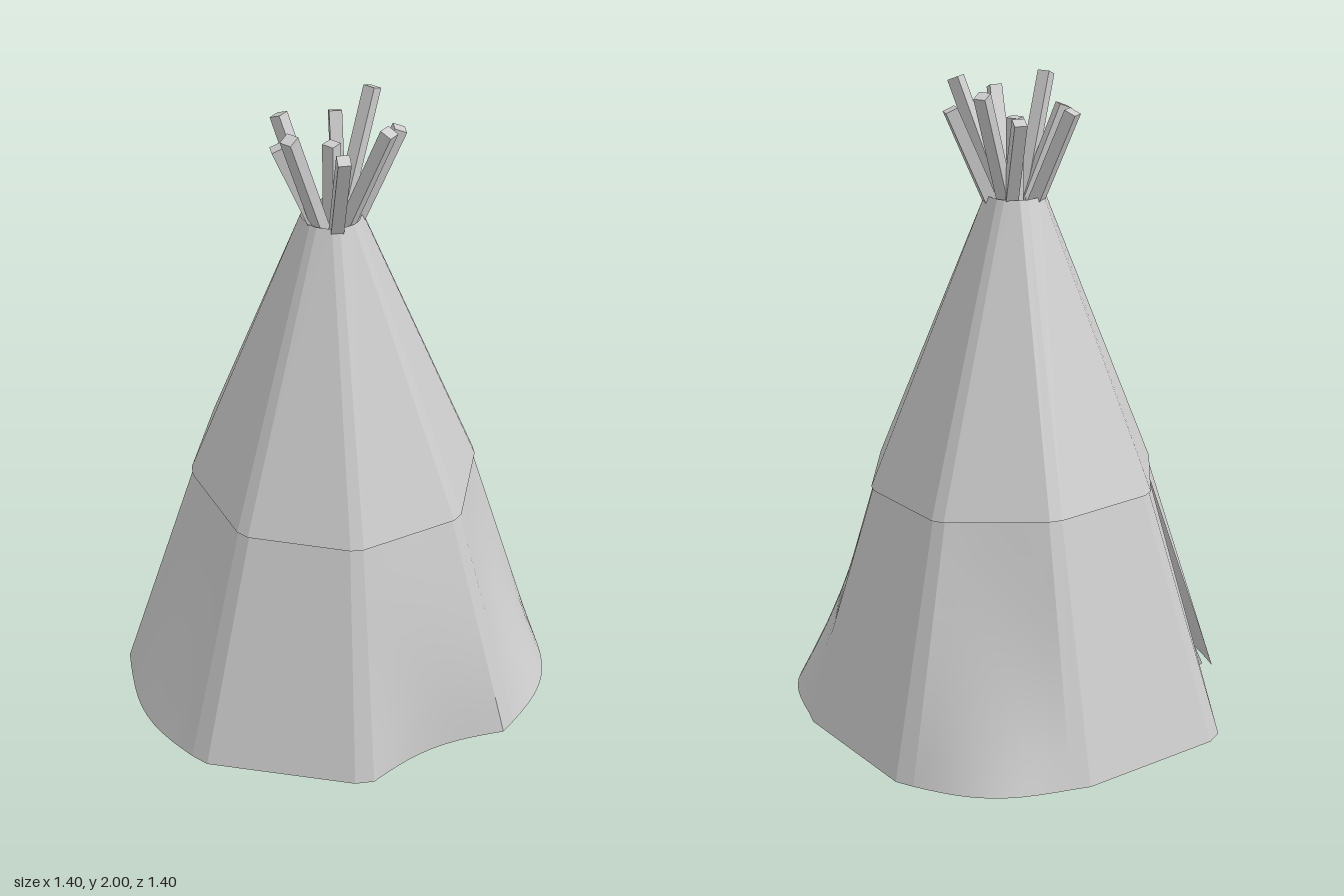
import * as THREE from 'three';

const V = (x, y, z) => new THREE.Vector3(x, y, z);
const cloth = new THREE.MeshStandardMaterial({ color: 0xcccccc, side: THREE.DoubleSide });
const wood = new THREE.MeshStandardMaterial({ color: 0xcccccc });

// Grid surface from f(u, v): u runs round the tent, v runs downwards
function patch(f, nu = 1, nv = 1) {
  const pos = [], idx = [];
  for (let j = 0; j <= nv; j++)
    for (let i = 0; i <= nu; i++) pos.push(...f(i / nu, j / nv).toArray());
  for (let j = 0; j < nv; j++)
    for (let i = 0; i < nu; i++) {
      const a = j * (nu + 1) + i, b = a + nu + 1;
      idx.push(a, b, a + 1, a + 1, b, b + 1);
    }
  const g = new THREE.BufferGeometry();
  g.setAttribute('position', new THREE.Float32BufferAttribute(pos, 3));
  g.setIndex(idx);
  g.computeVertexNormals();
  return g;
}

// Eight-cornered rings; each corner is a narrow strip, side = -1 or 1 picks its edge
const ring = (rAxis, rDiagonal, strip, y, zShift = 0, tilt = 0) => (k, side) => {
  const a = (k % 8) * Math.PI / 4, r = k % 2 ? rDiagonal : rAxis;
  const x = Math.sin(a) * r + Math.cos(a) * strip * side;
  const z = Math.cos(a) * r - Math.sin(a) * strip * side;
  return V(x, y - tilt * z, z + zShift);
};
const topRing = ring(0.09, 0.09, 0.012, 1.66);
const hemRing = ring(0.467, 0.447, 0.02, 0.767, 0.01, 0.026);
const wallTop = ring(0.457, 0.437, 0.02, 0.775, 0.01, 0.026);
const baseRing = ring(0.7, 0.672, 0.03, 0.01);

const quad = (a, b, c, d) => (u, v) => a.clone().lerp(b, u).lerp(c.clone().lerp(d, u), v);

export function createModel() {
  const model = new THREE.Group();
  const add = (parent, geometry, name, material = cloth) => {
    const m = new THREE.Mesh(geometry, material);
    m.name = name;
    parent.add(m);
    return m;
  };
  const group = (name) => {
    const g = new THREE.Group();
    g.name = name;
    model.add(g);
    return g;
  };

  const upper = group('upperCover'), hem = group('hem'), lower = group('lowerWall');
  const doorway = 4;
  const billow = [0.065, 0, 0.06, 0, 0, 0.05, 0, -0.04];

  for (let k = 0; k < 8; k++) {
    const n = k + 1;
    // Upper cover: wide panel and the strip over the pole
    add(upper, patch(quad(topRing(k, 1), topRing(n, -1), hemRing(k, 1), hemRing(n, -1))), 'upperPanel');
    add(upper, patch(quad(topRing(k, -1), topRing(k, 1), hemRing(k, -1), hemRing(k, 1))), 'upperSeam');
    // Hem folded in under the upper cover
    add(hem, patch(quad(hemRing(k, 1), hemRing(n, -1), wallTop(k, 1), wallTop(n, -1))), 'hemPanel');
    add(hem, patch(quad(hemRing(k, -1), hemRing(k, 1), wallTop(k, -1), wallTop(k, 1))), 'hemCorner');

    // Lower wall
    add(lower, patch(quad(wallTop(k, -1), wallTop(k, 1), baseRing(k, -1), baseRing(k, 1))), 'lowerSeam');
    const a = wallTop(k, 1), b = wallTop(n, -1), c = baseRing(k, 1), d = baseRing(n, -1);
    if (k === doorway) {
      // Two triangular flaps leave a pointed doorway
      const mid = a.clone().lerp(b, 0.5);
      add(lower, patch(quad(a, mid, c, c)), 'doorFlap');
      add(lower, patch(quad(mid, b, d, d)), 'doorFlap');
    } else {
      // Loose cloth billows between the poles, most of all at the ground
      const flat = quad(a, b, c, d), mid = (k + 0.5) * Math.PI / 4;
      const soft = (u, v) => {
        const push = billow[k] * Math.sin(Math.PI * u) * (v * v - 0.25 * Math.sin(Math.PI * v));
        return flat(u, v).add(V(Math.sin(mid) * push, 0, Math.cos(mid) * push));
      };
      add(lower, billow[k] ? patch(soft, 10, 8) : patch(flat), 'lowerPanel');
    }
  }

  // Square poles that lean through the middle and cross below the top
  const poles = group('poles');
  const pole = (foot, top, name) => {
    const m = add(poles, new THREE.BoxGeometry(0.038, 0.038, foot.distanceTo(top)), name, wood);
    m.position.copy(foot).lerp(top, 0.5);
    m.lookAt(top);
  };
  const tops = [
    V(0, 1.925, -0.19), V(-0.14, 1.91, -0.09), V(-0.2, 1.99, 0), V(-0.14, 1.945, 0.145),
    V(0, 1.99, 0.2), V(0.14, 1.925, 0.14), V(0.2, 1.99, 0), V(0.14, 1.91, -0.09),
  ];
  tops.forEach((top, k) => {
    const a = k * Math.PI / 4;
    pole(V(Math.sin(a) * 0.625, 0.008, Math.cos(a) * 0.625), top, 'leaningPole');
  });
  add(poles, new THREE.BoxGeometry(0.038, 1.89, 0.038), 'centrePole', wood).position.y = 0.945;

  return model;
}
